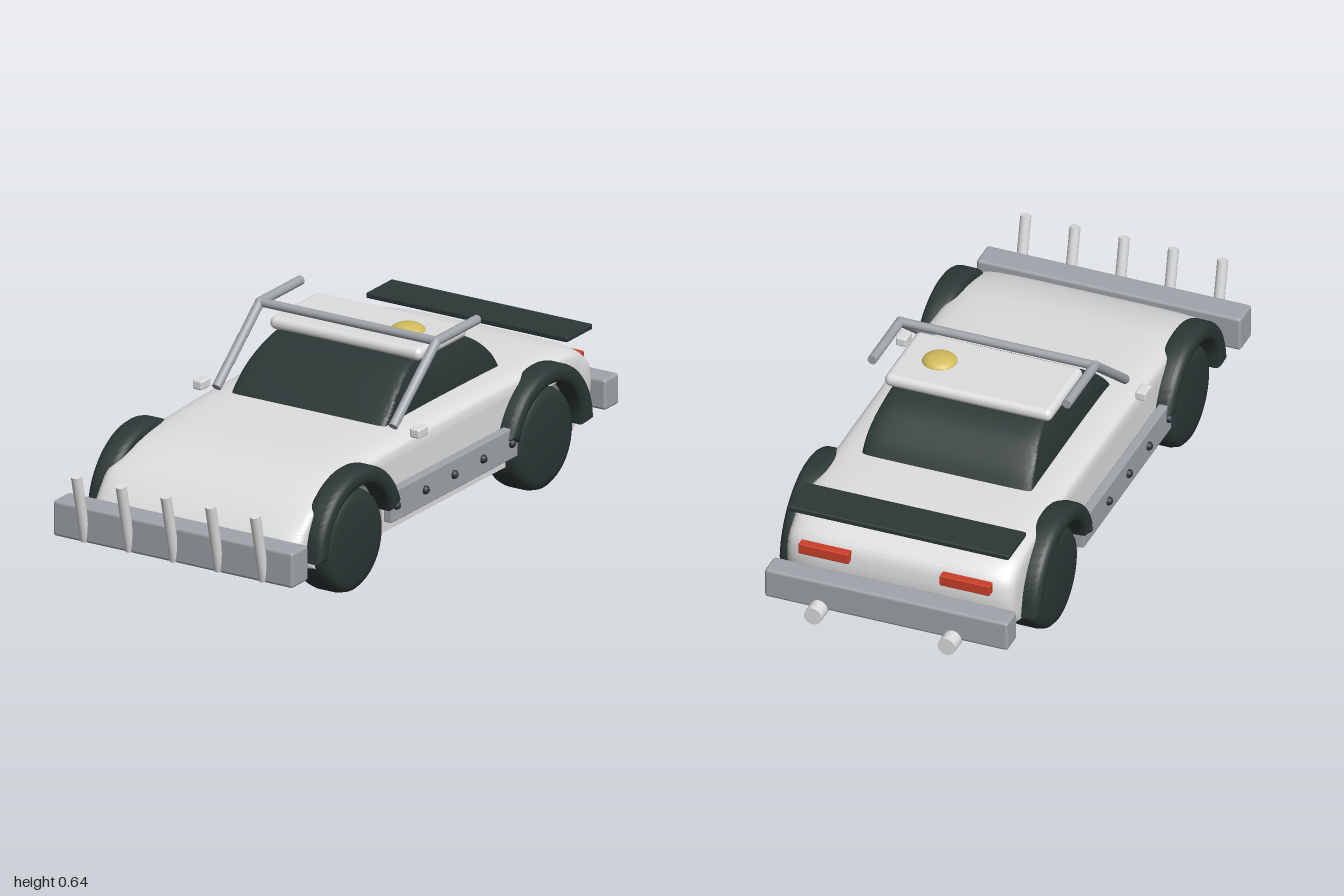
import * as THREE from 'three';
import { toCreasedNormals } from 'three/addons/utils/BufferGeometryUtils.js';
import { RoundedBoxGeometry } from 'three/addons/geometries/RoundedBoxGeometry.js';

const WHEEL_Z = 0.535, WHEEL_Y = 0.166;

export function createModel() {
  const model = new THREE.Group();
  model.name = 'armoredCar';
  const paint = (name, color) => {
    const m = new THREE.MeshStandardMaterial({ color });
    m.name = name;
    return m;
  };
  const white = paint('bodyWhite', 0xdedede);
  const dark = paint('rubberDark', 0x2b3736);
  const steel = paint('steelGrey', 0xa0a4aa);
  const red = paint('lampRed', 0xcc3f28);
  const amber = paint('beaconYellow', 0xd2bb5c);

  const add = (name, geometry, material, x = 0, y = 0, z = 0) => {
    const mesh = new THREE.Mesh(geometry, material);
    mesh.name = name;
    mesh.position.set(x, y, z);
    model.add(mesh);
    return mesh;
  };
  const box = (w, h, d, r = 0.006) => new RoundedBoxGeometry(w, h, d, 2, r);
  const rod = (name, a, b, r, material) => {
    const from = new THREE.Vector3(...a), to = new THREE.Vector3(...b);
    const dir = to.clone().sub(from);
    const mesh = add(name, new THREE.CylinderGeometry(r, r, dir.length(), 20), material);
    mesh.position.copy(from).add(to).multiplyScalar(0.5);
    mesh.quaternion.setFromUnitVectors(new THREE.Vector3(0, 1, 0), dir.normalize());
    return mesh;
  };
  const vectors = (list) => list.map(([z, y]) => new THREE.Vector2(z, y));

  // Extrudes a (z, y) side profile across x; slices bunch up near the sides,
  // and rule(v, drop) rounds them, with drop going from 0 (middle) to 1 (side).
  const softExtrude = (shape, halfWidth, rule) => {
    const g = new THREE.ExtrudeGeometry(shape, { depth: 2, steps: 24, bevelEnabled: false, curveSegments: 28 });
    g.translate(0, 0, -1).rotateY(-Math.PI / 2);
    const p = g.attributes.position, v = new THREE.Vector3();
    for (let i = 0; i < p.count; i++) {
      v.fromBufferAttribute(p, i);
      const a = Math.min(1, Math.abs(v.x)) * Math.PI / 2;
      const drop = 1 - Math.pow(Math.max(0, Math.cos(a)), 0.4);
      v.x = Math.sign(v.x) * halfWidth * Math.pow(Math.sin(a), 0.4);
      rule(v, drop);
      p.setXYZ(i, v.x, v.y, v.z);
    }
    return toCreasedNormals(g, 0.75);
  };
  const ramp = THREE.MathUtils.smoothstep;

  // Body shell with wheel arches cut through the full width
  const archR = 0.19;
  const archDip = Math.asin((WHEEL_Y - 0.13) / archR);
  const body = new THREE.Shape();
  body.moveTo(0.85, 0.17);
  body.splineThru(vectors([[0.85, 0.21], [0.79, 0.28], [0.7, 0.34], [0.55, 0.386], [0.35, 0.402], [0.1, 0.41],
    [-0.2, 0.412], [-0.6, 0.407], [-0.76, 0.39], [-0.845, 0.345], [-0.868, 0.28], [-0.86, 0.2], [-0.83, 0.15]]));
  body.lineTo(-0.75, 0.13);
  body.absarc(-WHEEL_Z, WHEEL_Y, archR, Math.PI + archDip, -archDip, true);
  body.absarc(WHEEL_Z, WHEEL_Y, archR, Math.PI + archDip, -archDip, true);
  body.lineTo(0.8, 0.135);
  body.closePath();
  add('bodyShell', softExtrude(body, 0.375, (v, drop) => {
    const dz = Math.abs(v.z) - WHEEL_Z;
    if (Math.hypot(dz, v.y - WHEEL_Y) < archR + 0.003) return;
    v.y -= 0.06 * drop * ramp(v.y, 0.22, 0.4);
    v.y += 0.04 * drop * (1 - ramp(v.y, 0.13, 0.2));
    if (Math.abs(dz) < 0.198) v.y = Math.max(v.y, WHEEL_Y + Math.sqrt(0.198 ** 2 - dz * dz));
    v.z -= Math.sign(v.z) * 0.08 * drop * ramp(Math.abs(v.z), 0.72, 0.84);
  }), white);

  // Glazed cabin and roof
  const cabin = new THREE.Shape();
  cabin.moveTo(0.2, 0.395);
  cabin.splineThru(vectors([[0.17, 0.43], [0.1, 0.495], [0.01, 0.548], [-0.1, 0.566], [-0.24, 0.562],
    [-0.35, 0.528], [-0.43, 0.462], [-0.478, 0.395]]));
  cabin.closePath();
  add('cabinGlass', softExtrude(cabin, 0.28, (v, drop) => {
    v.x *= 1 - 0.1 * ((v.y - 0.395) / 0.16) ** 2;
    v.y -= 0.015 * drop * ramp(v.y, 0.45, 0.56);
    v.z -= (v.z + 0.14) * 0.09 * drop;
  }), dark);
  add('roof', new RoundedBoxGeometry(0.55, 0.042, 0.275, 5, 0.02), white, 0, 0.57, -0.157);
  const beacon = add('roofBeacon', new THREE.SphereGeometry(0.055, 28, 16), amber, 0.145, 0.588, -0.155);
  beacon.scale.y = 0.45;

  // Wheels, fenders and brake blocks
  const tread = vectors([[0, -0.067], [0.125, -0.067], [0.146, -0.063], [0.158, -0.052], [0.164, -0.03],
    [0.164, 0.03], [0.158, 0.052], [0.146, 0.063], [0.125, 0.067], [0, 0.067]]);
  const wheel = toCreasedNormals(new THREE.LatheGeometry(tread, 44).rotateZ(Math.PI / 2), 0.6);
  const fender = (start, end) => {
    const s = new THREE.Shape();
    s.absarc(0, 0, 0.215, start, end, false);
    s.absarc(0, 0, 0.204, end, start, true);
    s.closePath();
    const g = new THREE.ExtrudeGeometry(s, {
      depth: 0.042, bevelSize: 0.024, bevelThickness: 0.022, bevelSegments: 4, curveSegments: 28,
    });
    return toCreasedNormals(g.translate(0, 0, -0.021).rotateY(-Math.PI / 2), 0.6);
  };
  const frontFender = fender(0.1, 2.75), rearFender = fender(Math.PI - 2.75, Math.PI - 0.1);
  for (const side of [1, -1]) {
    for (const end of [1, -1]) {
      const label = end > 0 ? 'front' : 'rear';
      add(label + 'Wheel', wheel, dark, side * 0.338, WHEEL_Y, end * WHEEL_Z);
      add(label + 'Fender', end > 0 ? frontFender : rearFender, dark, side * 0.385, WHEEL_Y, end * WHEEL_Z);
      add(label + 'BrakeBlock', new THREE.BoxGeometry(0.02, 0.085, 0.06), red, side * 0.268, 0.19, end * WHEEL_Z);
    }

    // Bolted side armour
    add('sideArmor', box(0.03, 0.1, 0.71, 0.004), steel, side * 0.397, 0.22, -0.005);
    for (let i = -2; i <= 2; i++) {
      add('armorBolt', new THREE.SphereGeometry(0.014, 14, 10), dark, side * 0.413, 0.222, i * 0.162);
    }
    add('sideMirror', box(0.035, 0.03, 0.055), white, side * 0.394, 0.41, 0.168);

    // Roll cage side bars
    rod('cageStrut', [side * 0.32, 0.42, 0.2], [side * 0.32, 0.622, -0.045], 0.015, steel);
    rod('cageTopBar', [side * 0.32, 0.622, -0.04], [side * 0.32, 0.622, -0.273], 0.015, steel);
    add('cageJoint', new THREE.SphereGeometry(0.015, 16, 12), steel, side * 0.32, 0.622, -0.043);

    // Tail lamps and exhausts
    add('tailLamp', box(0.165, 0.036, 0.03, 0.004), red, side * 0.232, 0.312, -0.87);
    rod('exhaust', [side * 0.22, 0.158, -0.85], [side * 0.22, 0.158, -1], 0.029, white);
  }
  rod('cageCrossbar', [-0.32, 0.622, -0.045], [0.32, 0.622, -0.045], 0.014, steel);

  // Bumpers, ram spikes and spoiler
  add('frontBumper', box(0.87, 0.115, 0.092, 0.01), steel, 0, 0.203, 0.898);
  add('rearBumper', box(0.8, 0.1, 0.08, 0.01), steel, 0, 0.205, -0.91);
  for (let i = -2; i <= 2; i++) {
    rod('ramSpike', [i * 0.162, 0.15, 0.93], [i * 0.162, 0.373, 0.982], 0.017, white);
  }
  add('spoiler', box(0.73, 0.018, 0.145, 0.005), dark, 0, 0.428, -0.782);

  return model;
}
